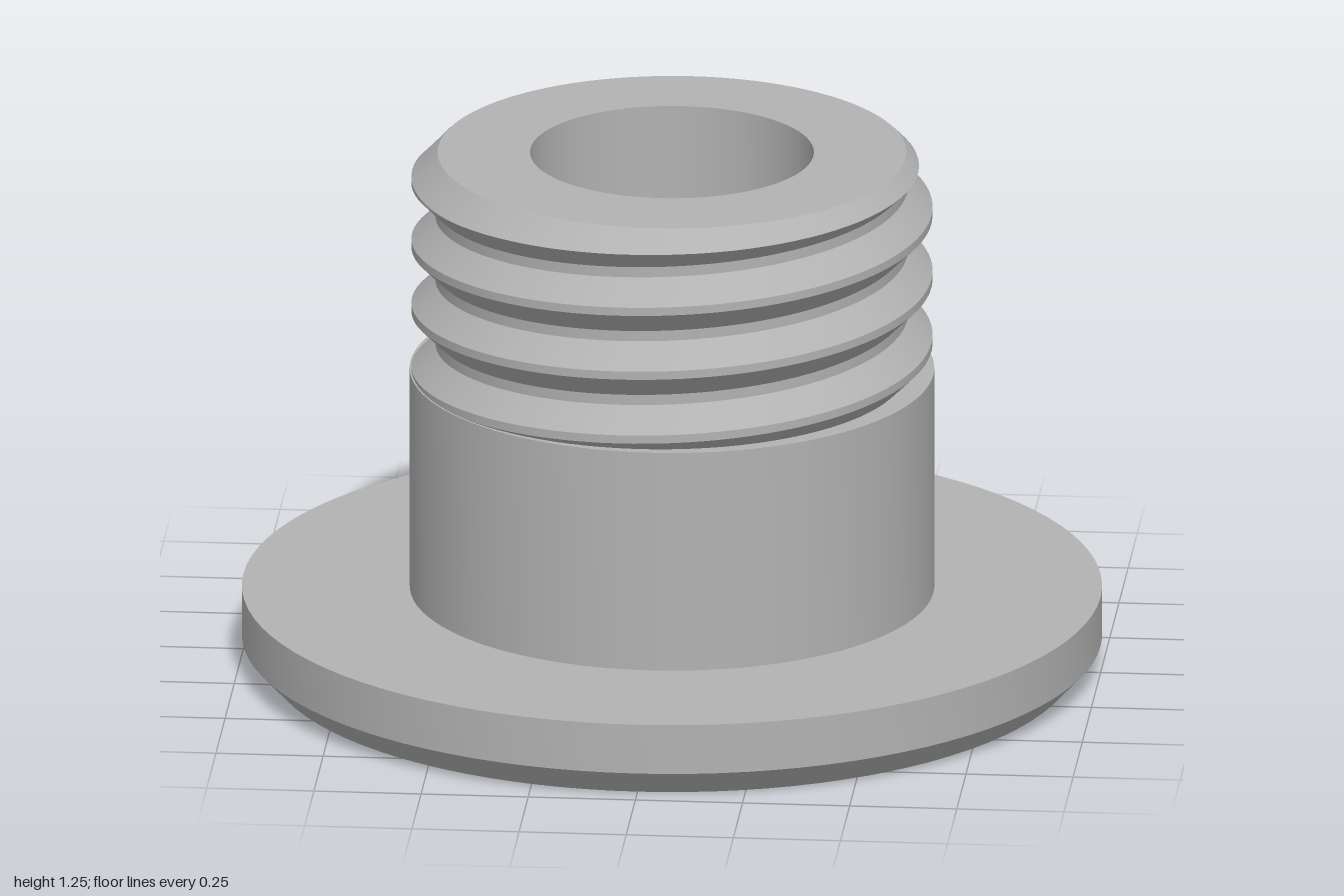
import * as THREE from 'three';
import { toCreasedNormals } from 'three/addons/utils/BufferGeometryUtils.js';

const SEGMENTS = 96;
const SHOULDER = 0.72, TOP = 1.25, RIM = 0.545;      // thread start, top face, top face radius
const ROOT = 0.55, CREST = 0.606, PITCH = 0.157;
const CREST_FLAT = 0.02, FLANK = 0.056;
const FIRST_CREST = 0.947 - 3 * PITCH;               // crest height on the +x side

// distance from the nearest crest centre decides the thread radius
function threadRadius(y, turn) {
  const t = (y - FIRST_CREST) / PITCH - turn;
  const d = Math.abs(t - Math.round(t)) * PITCH;
  const k = THREE.MathUtils.clamp((d - CREST_FLAT / 2) / FLANK, 0, 1);
  return CREST + (ROOT - CREST) * k;
}

// height at which the thread meets the 45 degree top chamfer
function chamferHeight(turn) {
  let y = 1.15;
  while (y < TOP && threadRadius(y, turn) + y < RIM + TOP) y += 0.0005;
  return Math.min(y, TOP);
}

// helical rows following every crest and root edge, trimmed by shoulder and chamfer
function threadGeometry() {
  const half = CREST_FLAT / 2;
  const breaks = [-half - FLANK, -half, half, half + FLANK];
  const positions = [], index = [];
  let rows = 0;
  for (let i = 0; i <= SEGMENTS; i++) {
    const turn = i / SEGMENTS, angle = turn * Math.PI * 2;
    const end = chamferHeight(turn);
    const profile = [[threadRadius(SHOULDER, turn), SHOULDER]];
    for (let k = -1; k < 7; k++) {
      for (const b of breaks) {
        const y = THREE.MathUtils.clamp(FIRST_CREST + (k + turn) * PITCH + b, SHOULDER, end);
        profile.push([threadRadius(y, turn), y]);
      }
    }
    profile.push([threadRadius(end, turn), end], [RIM, TOP]);
    rows = profile.length;
    for (const [r, y] of profile) positions.push(r * Math.cos(angle), y, -r * Math.sin(angle));
  }
  for (let i = 0; i < SEGMENTS; i++) {
    for (let j = 0; j < rows - 1; j++) {
      const a = i * rows + j, b = a + rows;
      index.push(a, b, b + 1, a, b + 1, a + 1);
    }
  }
  const geometry = new THREE.BufferGeometry();
  geometry.setAttribute('position', new THREE.Float32BufferAttribute(positions, 3));
  geometry.setIndex(index);
  return toCreasedNormals(geometry, 0.5);
}

function lathe(points) {
  const profile = points.map(([r, y]) => new THREE.Vector2(r, y));
  return toCreasedNormals(new THREE.LatheGeometry(profile, SEGMENTS), 0.5);
}

export function createModel() {
  const group = new THREE.Group();
  group.name = 'threadedFlangeBushing';
  const metal = new THREE.MeshStandardMaterial({ color: 0xb2b2b2 });
  metal.name = 'grey metal';

  const add = (name, geometry) => {
    const mesh = new THREE.Mesh(geometry, metal);
    mesh.name = name;
    group.add(mesh);
  };

  // stepped bore with a chamfered mouth
  add('bore', lathe([[0.33, TOP], [0.33, 0.25], [0.405, 0.25], [0.405, 0.035], [0.44, 0]]));
  // wide flange with a chamfered underside
  add('flange', lathe([[0.44, 0], [0.94, 0], [1, 0.065], [1, 0.185], [0.61, 0.185]]));
  // plain collar and its shoulder
  add('collar', lathe([[0.61, 0.185], [0.61, SHOULDER], [0.54, SHOULDER]]));
  // right-hand screw thread with chamfered end
  add('thread', threadGeometry());
  add('topFace', lathe([[RIM, TOP], [0.33, TOP]]));
  return group;
}
